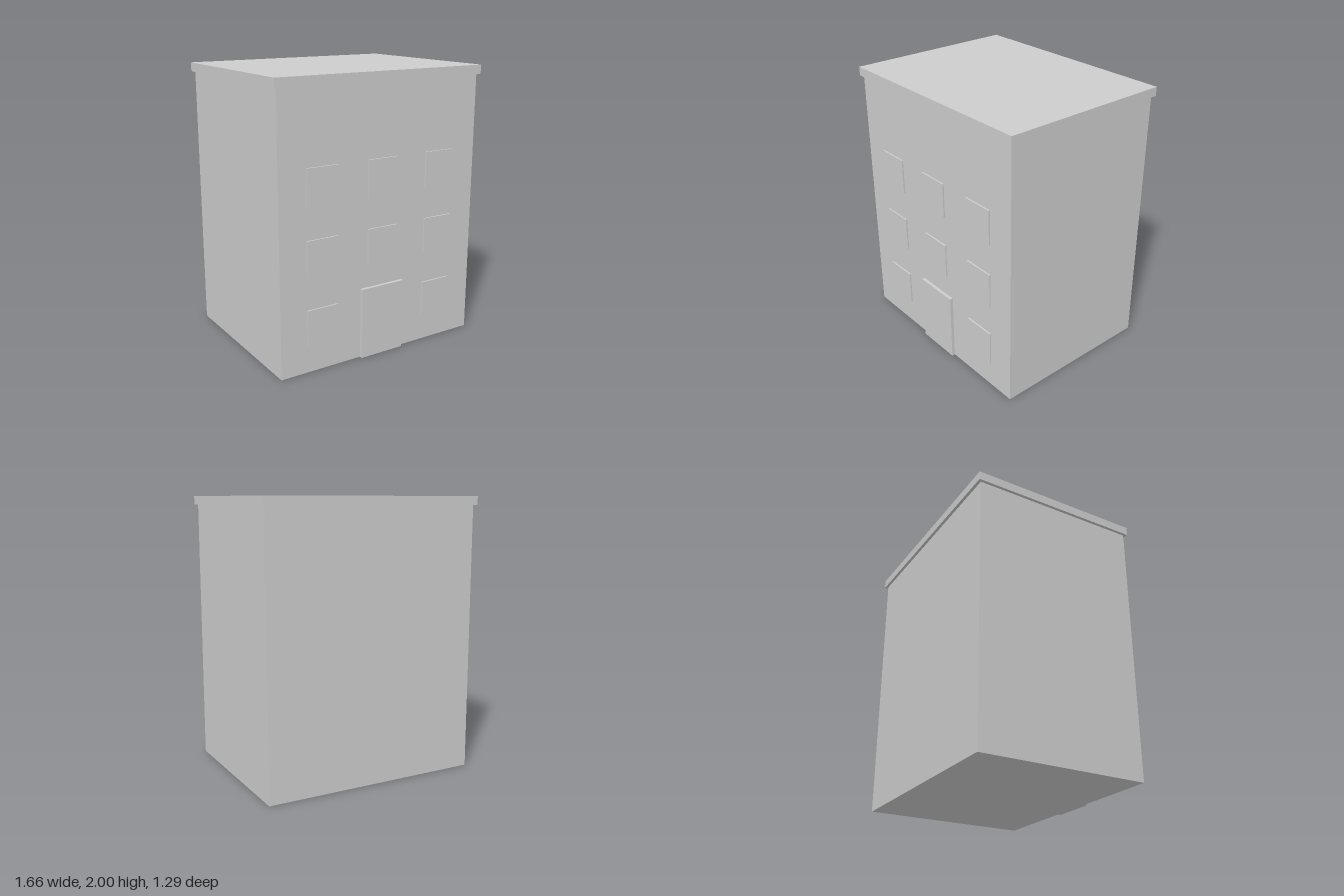
import * as THREE from 'three';

export function createModel() {
  const group = new THREE.Group();
  group.name = 'building';
  const plaster = new THREE.MeshStandardMaterial({ color: 0xcccccc });
  plaster.name = 'light grey';

  // Box given by its centre x, bottom y, back and front z
  const addBox = (name, width, height, x, bottom, back, front) => {
    const mesh = new THREE.Mesh(new THREE.BoxGeometry(width, height, front - back), plaster);
    mesh.name = name;
    mesh.position.set(x, bottom + height / 2, (back + front) / 2);
    group.add(mesh);
  };

  const wallFront = 0.619;
  addBox('walls', 1.612, 1.937, 0, 0, -0.622, wallFront);
  addBox('roofSlab', 1.656, 0.064, 0, 1.936, -0.643, 0.639);
  addBox('door', 0.348, 0.514, 0, 0, wallFront - 0.01, 0.643);

  // Three storeys of windows; the door takes the middle bay of the lowest
  [0.323, 0.808, 1.291].forEach((y, storey) => {
    for (const x of [-0.484, 0, 0.484]) {
      if (storey === 0 && x === 0) continue;
      addBox('window', 0.24, 0.257, x, y - 0.1285, wallFront - 0.01, 0.63);
    }
  });

  return group;
}
